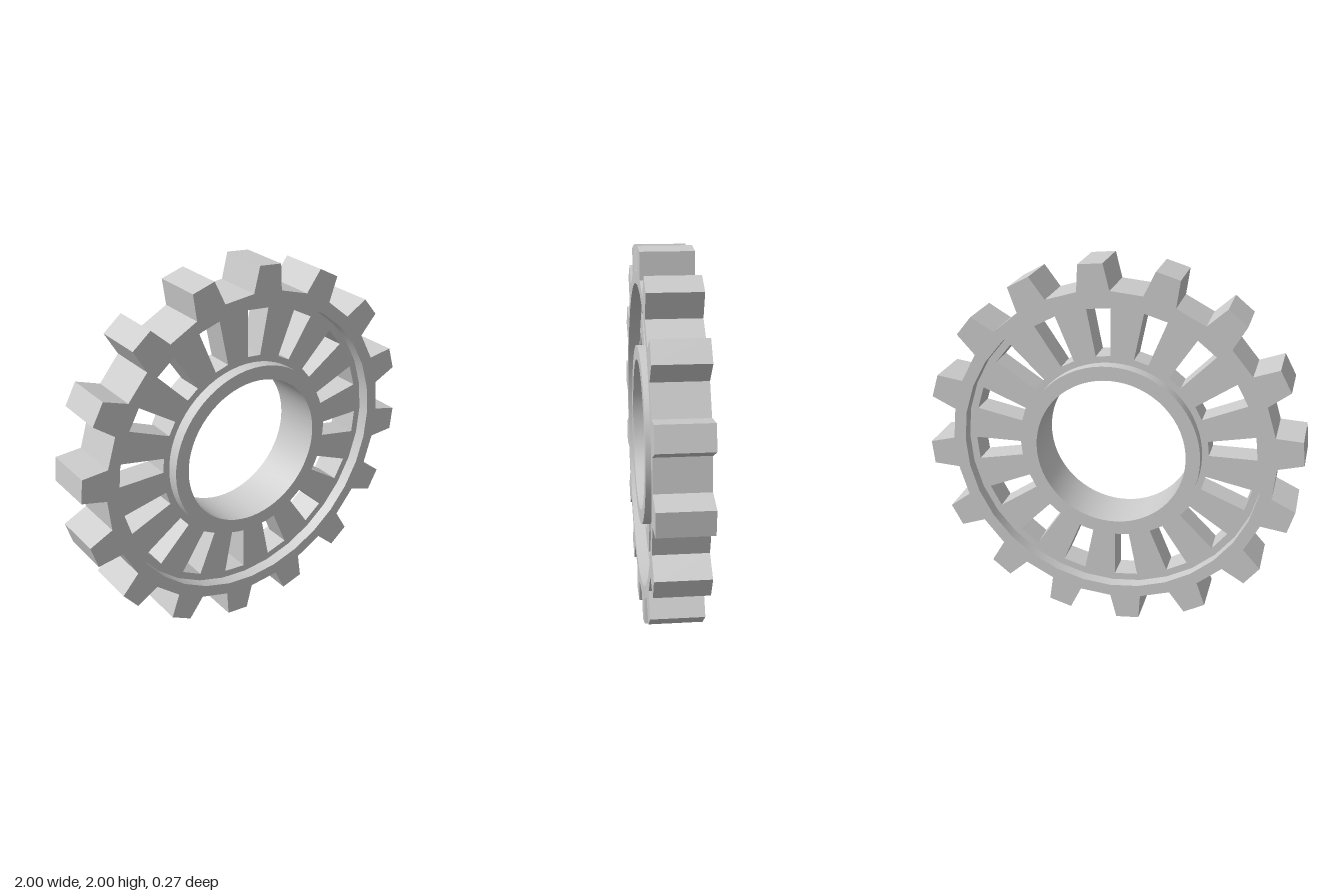
import * as THREE from 'three';
import { toCreasedNormals } from 'three/addons/utils/BufferGeometryUtils.js';

const TEETH = 16;
const PITCH = (Math.PI * 2) / TEETH;
const DEPTH = 0.274; // rim and hub thickness
const WEB = 0.145; // recessed web thickness
const deg = Math.PI / 180;

const polar = (r, a) => new THREE.Vector2(r * Math.cos(a), r * Math.sin(a));

// Regular polygon used for circular outlines and holes
function ring(r, sides) {
  return Array.from({ length: sides }, (_, i) => polar(r, (i / sides) * Math.PI * 2));
}

// Extrude an outline with holes, centred on z = 0
function plate(name, outline, holes, depth) {
  const shape = new THREE.Shape(outline);
  holes.forEach((h) => shape.holes.push(new THREE.Path(h)));
  const geo = new THREE.ExtrudeGeometry(shape, { depth, bevelEnabled: false });
  geo.translate(0, 0, -depth / 2);
  const mat = new THREE.MeshStandardMaterial({ color: 0xcccccc });
  const mesh = new THREE.Mesh(toCreasedNormals(geo, 0.4), mat);
  mesh.name = name;
  return mesh;
}

export function createModel() {
  const group = new THREE.Group();
  group.name = 'gearWheel';

  const teeth = [];
  const slots = [];
  for (let i = 0; i < TEETH; i++) {
    const mid = (i - 0.25) * PITCH;
    // Tapered tooth followed by a flat valley
    teeth.push(
      polar(0.865, mid - PITCH / 4), polar(1.0, mid - 3.65 * deg),
      polar(1.0, mid + 3.65 * deg), polar(0.865, mid + PITCH / 4)
    );
    // Window between two spokes, in line with the tooth
    slots.push([
      polar(0.51, mid - 4.4 * deg), polar(0.76, mid - 4.75 * deg),
      polar(0.76, mid + 4.75 * deg), polar(0.51, mid + 4.4 * deg)
    ]);
  }

  group.add(
    plate('toothedRim', teeth, [ring(0.8, 32)], DEPTH),
    plate('spokedWeb', ring(0.815, 32), [...slots, ring(0.44, 64)], WEB),
    plate('hub', ring(0.475, 64), [ring(0.4, 64)], DEPTH)
  );
  group.position.y = 1;
  return group;
}
